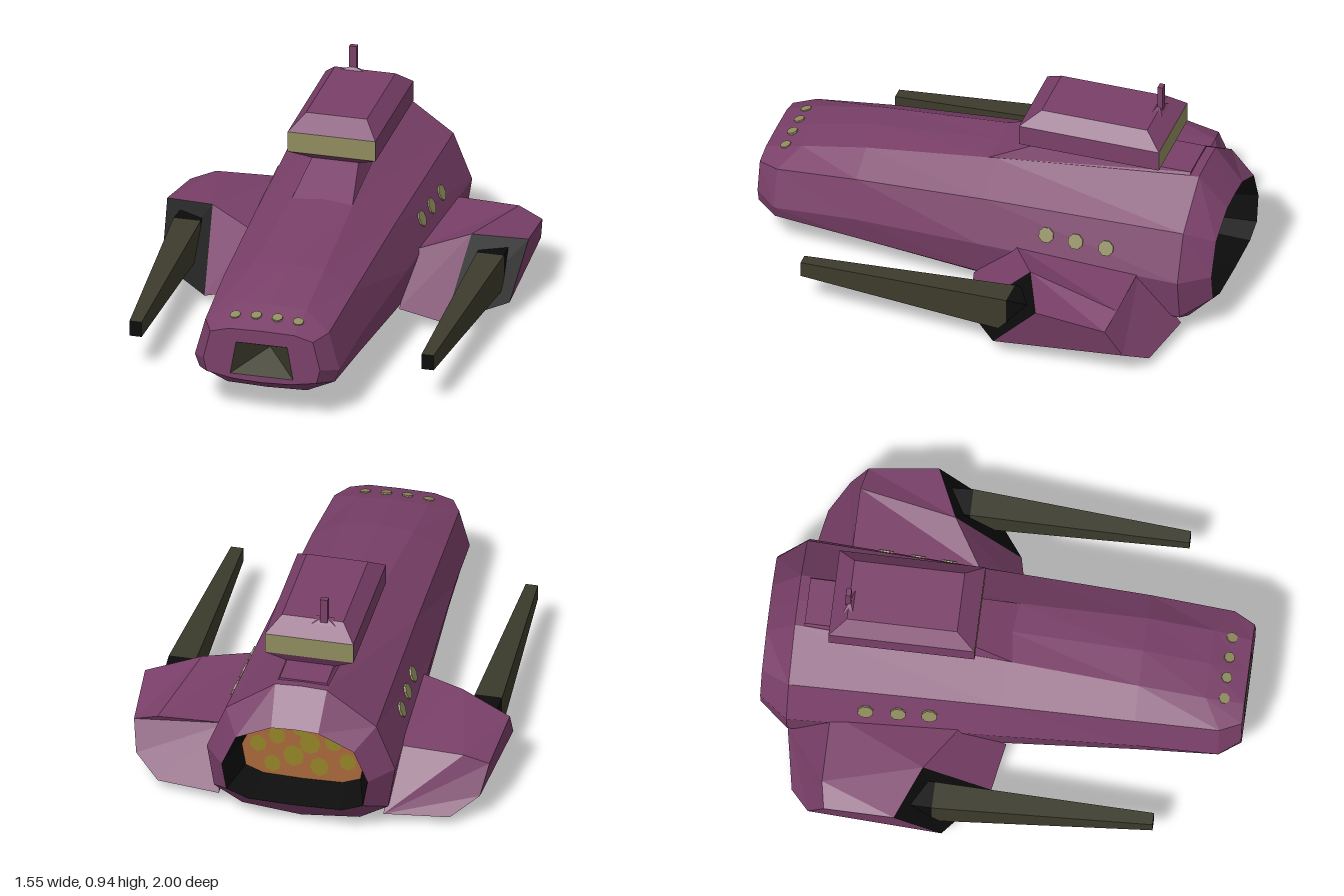
import * as THREE from 'three';

const mat = (name, color) => {
  const m = new THREE.MeshStandardMaterial({ color, flatShading: true, side: THREE.DoubleSide });
  m.name = name;
  return m;
};

// Mesh from a list of convex polygons, each fanned into triangles
function polyMesh(name, polys, material) {
  const pos = [];
  for (const p of polys)
    for (let i = 1; i < p.length - 1; i++) pos.push(...p[0], ...p[i], ...p[i + 1]);
  const g = new THREE.BufferGeometry();
  g.setAttribute('position', new THREE.Float32BufferAttribute(pos, 3));
  g.computeVertexNormals();
  const mesh = new THREE.Mesh(g, material);
  mesh.name = name;
  return mesh;
}

// Quads joining two closed rings
const band = (a, b) => a.map((p, i) => {
  const k = (i + 1) % a.length;
  return [p, a[k], b[k], b[i]];
});
const mirrored = (polys) => polys.map((p) => p.map(([x, y, z]) => [-x, y, z]).reverse());

// Full hull ring from a half section running top centre to bottom centre
function ring(z, half) {
  const right = half.map(([x, y, pz]) => [x, y, pz ?? z]);
  const left = right.slice(1, -1).reverse().map(([x, y, pz]) => [-x, y, pz]);
  return [...right, ...left];
}

export function createModel() {
  const purple = mat('hull purple', 0x7a4069);
  const black = mat('black', 0x0b0b0b);
  const olive = mat('dark olive', 0x3c3b2c);
  const cream = mat('window cream', 0x8f8c5e);
  const orange = mat('engine orange', 0xa8683a);
  const yellow = mat('engine yellow', 0x948428);

  const model = new THREE.Group();
  model.name = 'spaceship';
  const add = (name, polys, m, parent = model) => parent.add(polyMesh(name, polys, m));

  // Hull, lofted from nose to tail
  const rings = [
    ring(1, [[0, .4], [.14, .397], [.22, .375], [.25, .25], [.235, .19], [.12, .17], [0, .165]]),
    ring(.91, [[0, .452, .84], [.15, .442, .84], [.265, .385], [.31, .22], [.29, .165], [.17, .11], [0, .105]]),
    ring(.56, [[0, .51], [.15, .495], [.28, .42], [.325, .25], [.3, .14], [.19, .07], [0, .055]]),
    ring(0, [[0, .558], [.13, .553], [.295, .455], [.36, .27], [.33, .11], [.25, .045], [0, .04]]),
    ring(-.88, [[0, .645], [.11, .64], [.32, .49], [.4, .29], [.37, .1], [.25, .03], [0, .005]]),
    ring(-1, [[0, .505], [.1, .5], [.25, .43], [.31, .29], [.29, .17], [.2, .135], [0, .13]]),
  ];
  const hull = [], belly = [];
  for (let s = 0; s < rings.length - 1; s++)
    band(rings[s], rings[s + 1]).forEach((q, j) =>
      (s === 3 && (j === 5 || j === 6) ? belly : hull).push(q));
  add('hull', hull, purple);
  add('bellyPlate', belly, black);

  // Nose face with a pyramid-shaped intake
  const v2 = ([x, y]) => new THREE.Vector2(x, y);
  const mouth = [[-.135, .193, 1], [.135, .193, 1], [.11, .338, 1], [-.11, .338, 1]];
  const noseShape = new THREE.Shape(rings[0].map(v2));
  noseShape.holes.push(new THREE.Path(mouth.map(v2)));
  const nose = new THREE.Mesh(new THREE.ShapeGeometry(noseShape), purple);
  nose.name = 'noseFace';
  nose.position.z = 1;
  model.add(nose);
  add('noseIntake', mouth.map((p, i) => [p, mouth[(i + 1) % 4], [0, .268, .86]]), olive);

  // Engine well with glowing plate and yellow patches
  const inner = rings[5].map(([x, y]) => [x * .84, .31 + (y - .31) * .84, -.84]);
  add('engineWell', band(rings[5], inner), black);
  add('enginePlate', [inner], orange);
  const patches = [[-.19, .27, .036], [-.13, .36, .038], [-.07, .23, .04], [-.03, .34, .045],
    [.01, .41, .035], [.04, .27, .045], [.11, .36, .036], [.13, .22, .036], [.19, .31, .035]];
  for (const [x, y, r] of patches) {
    const patch = new THREE.Mesh(new THREE.CircleGeometry(r, 8), yellow);
    patch.name = 'enginePatch';
    patch.position.set(x, y, -.845);
    patch.rotation.y = Math.PI;
    patch.scale.y = 1.15;
    model.add(patch);
  }

  // Raised neck under the bridge
  const n = [[-.13, .55, .03], [.13, .55, .03], [.1, .645, -.18], [-.1, .645, -.18],
    [.1, .647, -.84], [-.1, .647, -.84], [.13, .6, -.84], [-.13, .6, -.84]];
  add('neck', [[n[0], n[1], n[2], n[3]], [n[3], n[2], n[4], n[5]],
    [n[1], n[6], n[4], n[2]], [n[0], n[3], n[5], n[7]], [n[5], n[4], n[6], n[7]]], purple);

  // Bridge: stacked rectangles [y, half width, front z, back z]
  const levels = [[.64, .1, -.19, -.7], [.69, .188, -.12, -.73], [.78, .188, -.12, -.73], [.84, .13, -.2, -.66]]
    .map(([y, w, f, b]) => [[-w, y, f], [w, y, f], [w, y, b], [-w, y, b]]);
  const bridge = [levels[3]], glass = [];
  for (let s = 0; s < 3; s++)
    band(levels[s], levels[s + 1]).forEach((q, j) =>
      (s === 1 && j % 2 === 0 ? glass : bridge).push(q));
  add('bridge', bridge, purple);
  add('bridgeWindows', glass, cream);

  // Antenna on a small wedge
  const mast = new THREE.Mesh(new THREE.BoxGeometry(.032, .135, .022), purple);
  mast.name = 'antenna';
  mast.position.set(-.05, .878, -.662);
  model.add(mast);
  const foot = [[-.1, .84, -.64], [0, .84, -.64], [0, .825, -.68], [-.1, .825, -.68]];
  add('antennaFoot', foot.map((p, i) => [p, foot[(i + 1) % 4], [-.05, .855, -.655]]), purple);

  // Wing pods and cannons, mirrored
  const front = [[.35, .29, -.16], [.555, .325, -.29], [.775, .285, -.385],
    [.745, .08, -.19], [.515, .04, -.01], [.33, .1, .03]];
  const back = [[.35, .29, -.7], [.65, .28, -.7], [.755, .24, -.68],
    [.73, .12, -.75], [.62, .05, -.83], [.35, .06, -.88]];
  const square = (x0, x1, y0, y1, z) => [[x0, y1, z], [x1, y1, z], [x1, y0, z], [x0, y0, z]];
  const tip = square(.6, .652, .155, .222, .68);
  const breech = square(.592, .708, .118, .27, -.235);
  const socket = square(.6, .7, .13, .262, -.4);
  const [r0, a, b, c, d, r1] = front;
  const parts = [
    ['wingPod', [...band(front, back), back, [r1, d, a, r0]], purple],
    ['podFace', [[d, c, b, a]], black],
    ['cannonSocket', band(breech, socket), black],
    ['cannon', [...band(tip, breech), breech], olive],
    ['cannonMuzzle', [[...tip].reverse()], black],
  ];
  for (const side of ['left', 'right']) {
    const wing = new THREE.Group();
    wing.name = side + 'Wing';
    for (const [name, polys, m] of parts)
      add(name, side === 'left' ? polys : mirrored(polys), m, wing);
    model.add(wing);
  }

  // Small eight-sided windows
  function porthole(name, r, x, y, z, normal) {
    const w = new THREE.Mesh(new THREE.CylinderGeometry(r, r, .009, 8).rotateY(Math.PI / 8), cream);
    w.name = name;
    w.position.set(x, y, z);
    w.quaternion.setFromUnitVectors(new THREE.Vector3(0, 1, 0), normal.normalize());
    model.add(w);
  }
  for (const s of [-1, 1]) {
    for (const z of [-.29, -.42, -.555])
      porthole('sideWindow', .034, s * (.343 + (-.29 - z) * .049), .37, z, new THREE.Vector3(s * .93, .365, .04));
    porthole('noseWindow', .023, s * .045, .429, .915, new THREE.Vector3(s * .04, 1, .3));
    porthole('noseWindow', .023, s * .135, .421, .915, new THREE.Vector3(s * .08, 1, .29));
  }
  return model;
}
